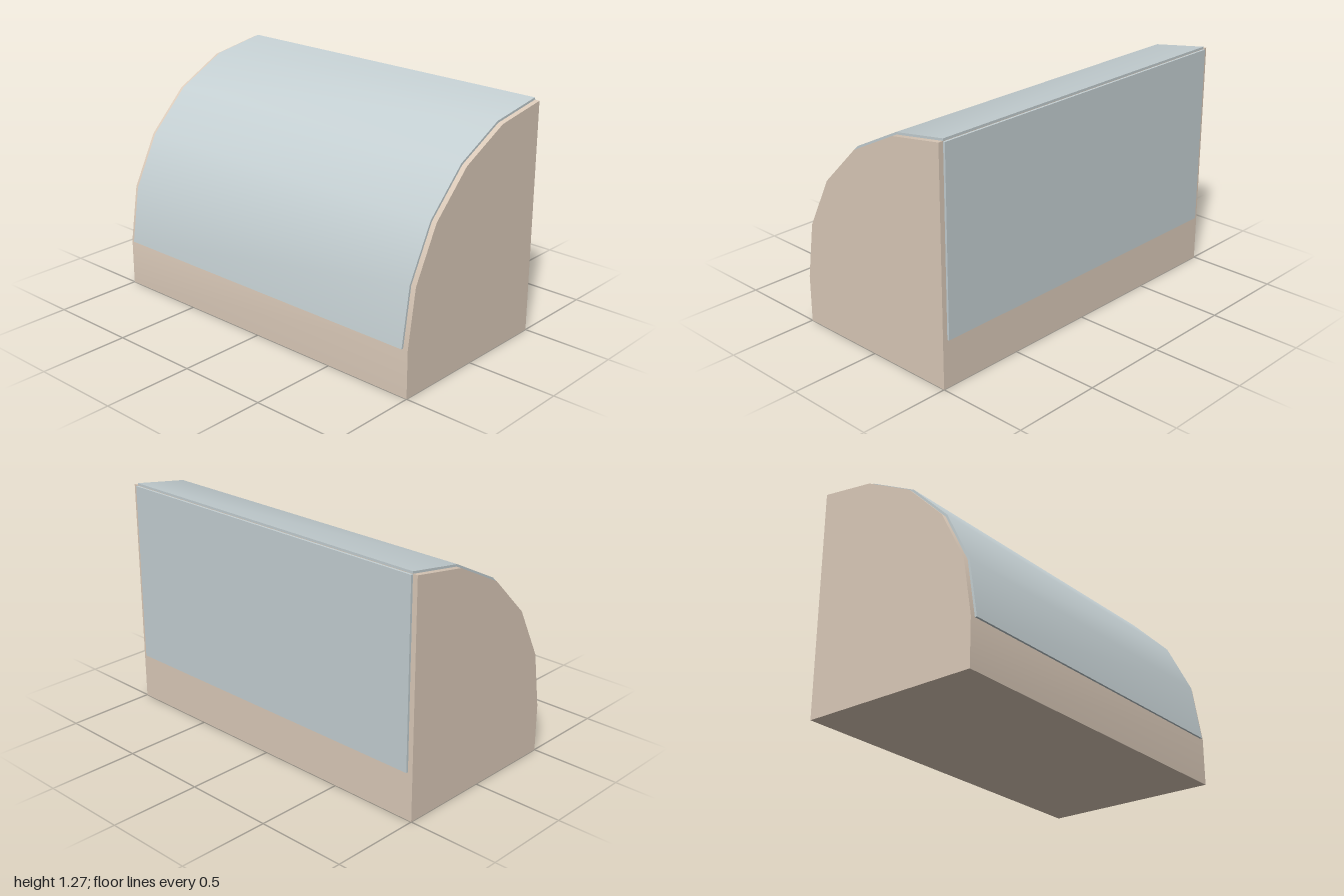
import * as THREE from 'three';
import { toCreasedNormals } from 'three/addons/utils/BufferGeometryUtils.js';

const BASE = 0.26, BACK = -0.5, SEGMENTS = 5;

// Quarter arc in the (z, y) plane, from the front edge up to the back edge
function arc(radius) {
  return Array.from({ length: SEGMENTS + 1 }, (_, i) => {
    const a = (i / SEGMENTS) * Math.PI / 2;
    return new THREE.Vector2(BACK + radius * Math.cos(a), BASE + radius * Math.sin(a));
  });
}

// Extrude a (z, y) profile across x, smoothing only the shallow bends
function across(points, width) {
  const geo = new THREE.ExtrudeGeometry(new THREE.Shape(points), { depth: width, bevelEnabled: false });
  geo.translate(0, 0, -width / 2).rotateY(-Math.PI / 2);
  return toCreasedNormals(geo, THREE.MathUtils.degToRad(25));
}

export function createModel() {
  const group = new THREE.Group();
  const wood = new THREE.MeshStandardMaterial({ color: 0xdccbba });
  const pane = new THREE.MeshStandardMaterial({ color: 0xc5d0d3 });
  const add = (name, geometry, material) => {
    const mesh = new THREE.Mesh(geometry, material);
    mesh.name = name;
    group.add(mesh);
    return mesh;
  };

  // Solid case with a quarter-round front
  const v = (z, y) => new THREE.Vector2(z, y);
  add('caseBody', across([v(BACK, 0), v(0.5, 0), ...arc(1)], 2), wood);

  // Thin curved cover lying on the rounded front
  add('curvedCover', across([...arc(1.012), ...arc(1).reverse()], 1.944), pane);

  // Thin flat panel on the back
  add('backPanel', new THREE.BoxGeometry(1.944, 0.998, 0.012), pane)
    .position.set(0, BASE + 0.499, BACK - 0.006);

  return group;
}
